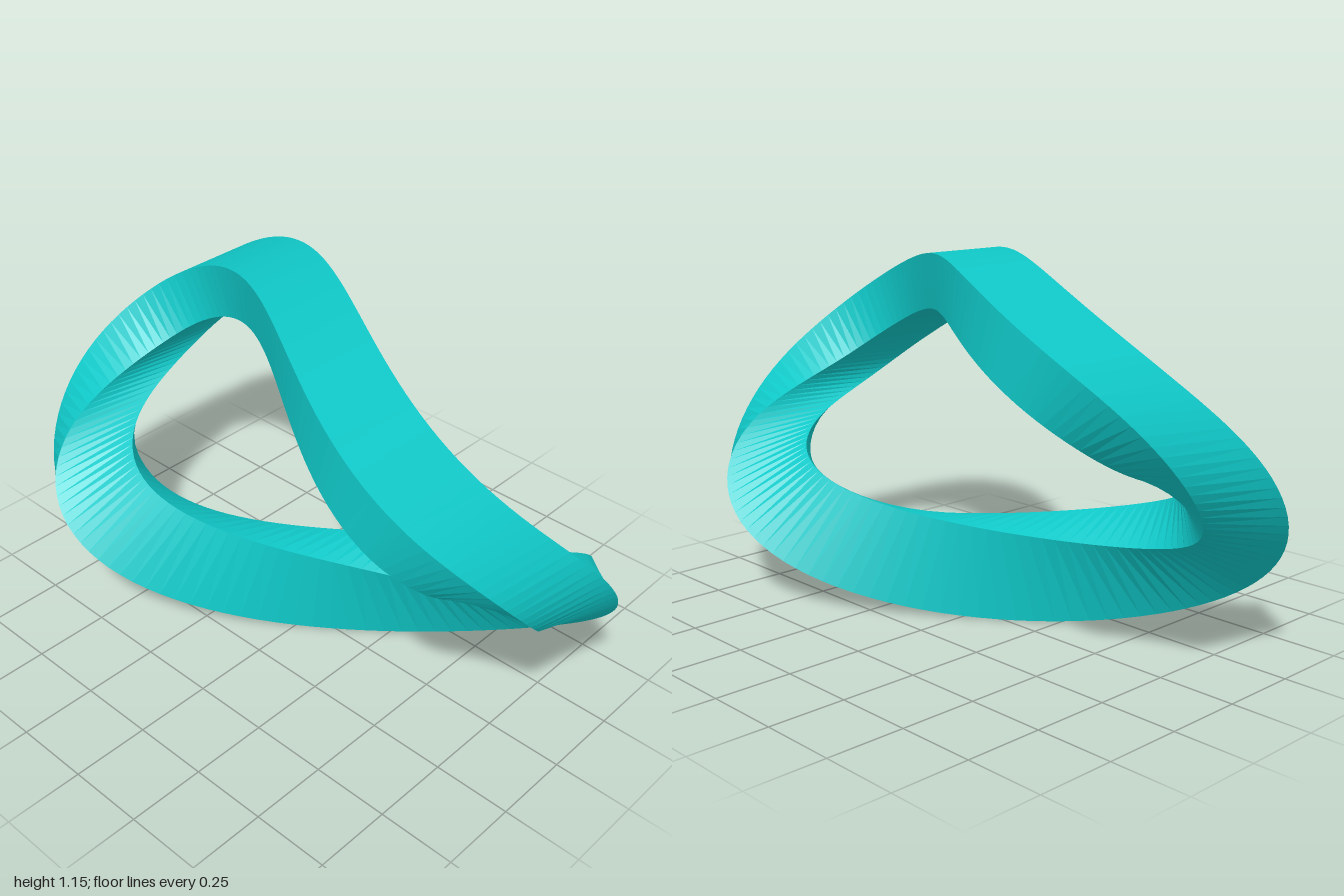
import * as THREE from 'three';

const SEGMENTS = 128;
const A = 0.89, B = 0.452, CENTRE_Y = 0.612; // elliptical path
const SWAY = 0.3;                            // sideways figure-eight swing
const HALF_THICK = 0.088, HALF_WIDE = 0.152; // rectangular section

// Four corners of the section at angle t; the section makes a half turn along the lower part
function section(t) {
  const k = THREE.MathUtils.smoothstep(t, Math.PI * 5 / 6, Math.PI * 13 / 6);
  const twist = Math.PI * k;
  const centre = new THREE.Vector3(A * Math.cos(t), CENTRE_Y + B * Math.sin(t), SWAY * Math.sin(2 * t));
  const normal = new THREE.Vector3(B * Math.cos(t), A * Math.sin(t), 0).normalize();
  const axis = new THREE.Vector3(0, 0, 1);
  const thick = normal.clone().multiplyScalar(Math.cos(twist)).addScaledVector(axis, -Math.sin(twist));
  const wide = normal.clone().multiplyScalar(Math.sin(twist)).addScaledVector(axis, Math.cos(twist));
  return [[1, -1], [1, 1], [-1, 1], [-1, -1]].map(([s, w]) => centre.clone()
    .addScaledVector(thick, s * HALF_THICK)
    .addScaledVector(wide, w * HALF_WIDE));
}

export function createModel() {
  const group = new THREE.Group();
  group.name = 'twistedLoop';

  // Start at the top and go once round; the half turn closes on itself
  const rings = [];
  for (let i = 0; i <= SEGMENTS; i++) rings.push(section(Math.PI / 2 + (i / SEGMENTS) * Math.PI * 2));

  const points = [];
  for (let i = 0; i < SEGMENTS; i++) {
    for (let k = 0; k < 4; k++) {
      const n = (k + 1) % 4;
      const a = rings[i][k], b = rings[i][n], c = rings[i + 1][n], d = rings[i + 1][k];
      points.push(a, c, b, a, d, c);
    }
  }
  const geometry = new THREE.BufferGeometry().setFromPoints(points);
  geometry.computeVertexNormals();

  const band = new THREE.Mesh(geometry, new THREE.MeshStandardMaterial({ color: 0x10c8c8, flatShading: true }));
  band.name = 'twistedBand';
  group.add(band);
  return group;
}
